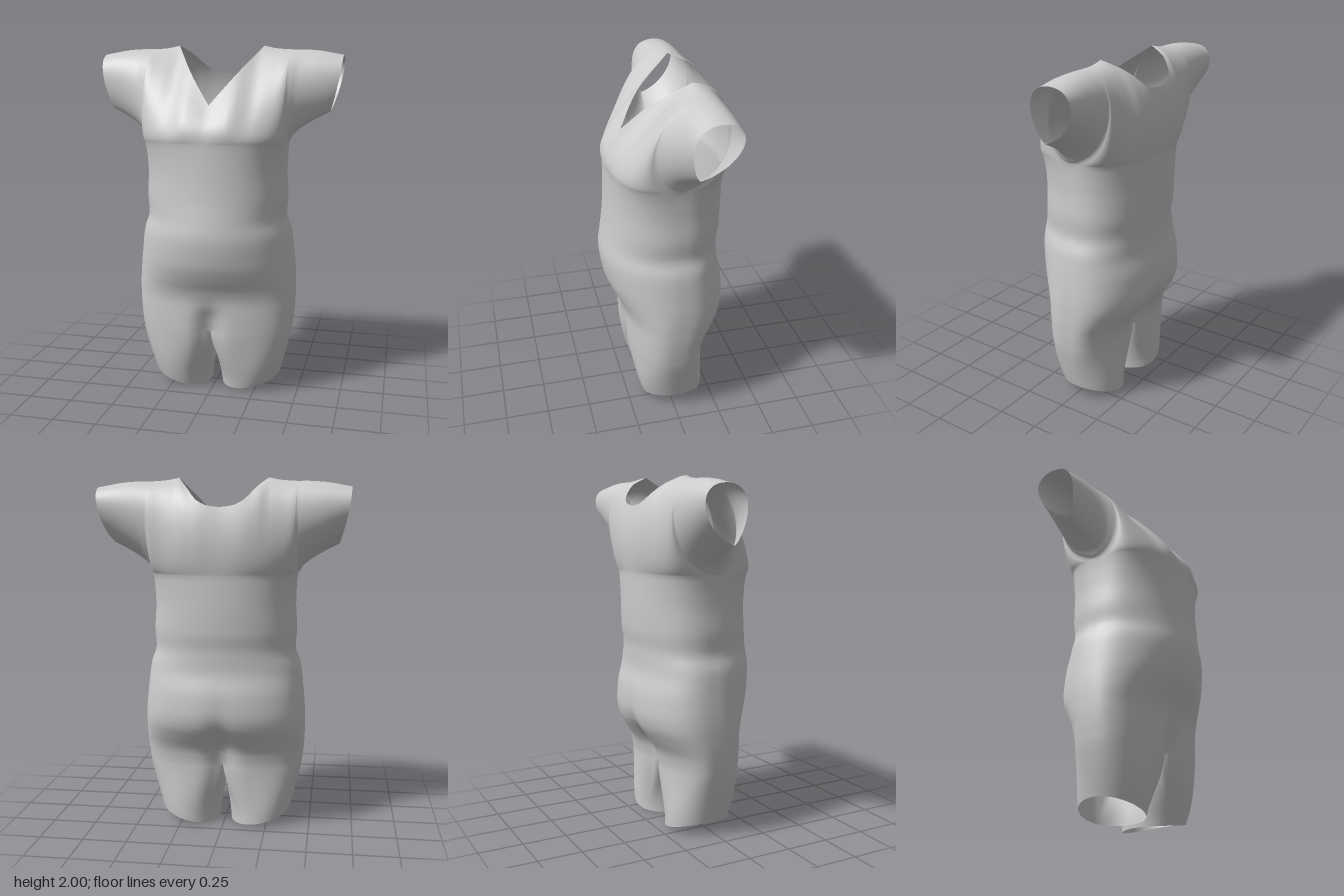
import * as THREE from 'three';
import { mergeVertices, mergeGeometries } from 'three/addons/utils/BufferGeometryUtils.js';

const N = 24;        // columns from the centre line to the side seam
const S = 18;        // columns along a sleeve
const CORNER = 10;   // column of the neckline's shoulder corner
const CROTCH = 0.38, CHEST = 1.47, SIDE = 0.41;

// y, half width, front z, back z, front roundness, back roundness, front cleft, back cleft
const BODY = [
  [0.38, 0.452, 0.237, -0.22, 0.68, 0.7, 0.24, 0.26],
  [0.45, 0.46, 0.24, -0.235, 0.7, 0.7, 0.18, 0.24],
  [0.55, 0.465, 0.243, -0.295, 0.72, 0.7, 0.03, 0.14],
  [0.62, 0.465, 0.26, -0.335, 0.77, 0.7, 0, 0.07],
  [0.7, 0.462, 0.3, -0.35, 0.9, 0.71, 0, 0.03],
  [0.8, 0.453, 0.338, -0.345, 0.98, 0.72, 0, 0.01],
  [0.95, 0.435, 0.357, -0.315, 1, 0.75, 0, 0],
  [1.05, 0.404, 0.345, -0.316, 0.97, 0.78, 0, 0],
  [1.15, 0.41, 0.33, -0.33, 0.92, 0.8, 0, 0],
  [1.3, 0.402, 0.318, -0.335, 0.83, 0.78, 0, 0],
  [1.4, 0.404, 0.314, -0.335, 0.72, 0.72, 0, 0],
  [1.47, 0.41, 0.313, -0.335, 0.6, 0.66, 0, 0],
];
// x, then (y, z) of four curve controls from the chest line or underarm to the neck or shoulder
const FRONT = [
  [0, 1.47, 0.3, 1.56, 0.32, 1.6, 0.27, 1.68, 0.215],
  [0.12, 1.47, 0.3, 1.57, 0.335, 1.65, 0.26, 1.834, 0.1],
  [0.2496, 1.47, 0.2, 1.57, 0.325, 1.9, 0.02, 2, -0.11],
  [0.33, 1.47, 0.1, 1.54, 0.295, 1.95, 0.06, 1.985, -0.125],
  [0.41, 1.47, -0.02, 1.52, 0.22, 1.96, 0.12, 1.98, -0.13],
  [0.46, 1.515, -0.03, 1.54, 0.15, 1.965, 0.1, 1.98, -0.13],
  [0.55, 1.565, -0.04, 1.585, 0.07, 1.965, 0.09, 1.975, -0.13],
  [0.7, 1.64, -0.05, 1.66, -0.01, 1.945, 0.07, 1.95, -0.13],
];
const BACK = [
  [0, 1.47, -0.3, 1.58, -0.355, 1.7, -0.36, 1.84, -0.31],
  [0.06, 1.47, -0.3, 1.58, -0.357, 1.71, -0.362, 1.847, -0.31],
  [0.12, 1.47, -0.3, 1.58, -0.36, 1.74, -0.365, 1.872, -0.3],
  [0.2, 1.47, -0.25, 1.58, -0.36, 1.88, -0.355, 1.955, -0.22],
  [0.2496, 1.47, -0.2, 1.57, -0.355, 1.98, -0.345, 2, -0.11],
  [0.33, 1.47, -0.1, 1.55, -0.33, 1.985, -0.34, 1.985, -0.125],
  [0.41, 1.47, -0.02, 1.53, -0.32, 1.98, -0.35, 1.98, -0.13],
  [0.46, 1.515, -0.03, 1.55, -0.31, 1.98, -0.345, 1.98, -0.13],
  [0.55, 1.565, -0.04, 1.6, -0.29, 1.975, -0.34, 1.975, -0.13],
  [0.7, 1.64, -0.05, 1.7, -0.25, 1.95, -0.335, 1.95, -0.13],
];
// The top edges break at the shoulder corner, so neckline and shoulder are separate tables
const NECKLINE = [FRONT.slice(0, 3), BACK.slice(0, 5)];
const SHOULDER = FRONT.slice(2);

// Smooth interpolation of one table column, without overshoot
function sample(table, key, col) {
  const last = table.length - 1;
  let k = 0;
  while (k < last - 1 && key > table[k + 1][0]) k++;
  const slope = (a) => (table[a + 1][col] - table[a][col]) / (table[a + 1][0] - table[a][0]);
  const tangent = (a) => {
    if (a === 0) return slope(0);
    if (a === last) return slope(last - 1);
    const p = slope(a - 1), q = slope(a);
    return p * q <= 0 ? 0 : (2 * p * q) / (p + q);
  };
  const h = table[k + 1][0] - table[k][0];
  const t = THREE.MathUtils.clamp((key - table[k][0]) / h, 0, 1);
  const a = table[k][col], b = table[k + 1][col];
  const t2 = t * t, t3 = t2 * t;
  return a * (2 * t3 - 3 * t2 + 1) + b * (3 * t2 - 2 * t3)
    + h * (tangent(k) * (t3 - 2 * t2 + t) + tangent(k + 1) * (t3 - t2));
}

// Point of the torso in column i; side 0 is the front, 1 the back
function torsoPoint(i, y, side) {
  const get = (col) => sample(BODY, y, col);
  const angle = (i / N) * Math.PI / 2, mid = -0.02;
  const x = get(1) * Math.sin(angle);
  const round = Math.abs(i) === N ? 0 : Math.pow(Math.cos(angle), get(4 + side));
  const cleft = 1 - get(6 + side) * Math.exp(-((x / 0.07) ** 2));
  return [x, y, mid + (get(2 + side) - mid) * round * cleft];
}

// Point of the chest, shoulder and sleeve in column i, at v from underarm to top
function yokePoint(i, v, side) {
  const n = Math.abs(i), sign = Math.sign(i), table = side ? BACK : FRONT;
  const along = Math.max(0, n - N) / S;
  const x = n <= N ? SIDE * Math.sin((n / N) * Math.PI / 2) : SIDE + 0.29 * along;
  const tables = [FRONT, table, table, n >= CORNER ? SHOULDER : NECKLINE[side]];
  const c = tables.map((from, k) => [sample(from, x, 1 + 2 * k), sample(from, x, 2 + 2 * k)]);
  if (n <= N) c[0] = torsoPoint(i, CHEST, side).slice(1);
  const w = 1 - v;
  const [y, z] = [0, 1].map((d) =>
    w ** 3 * c[0][d] + 3 * w * w * v * c[1][d] + 3 * w * v * v * c[2][d] + v ** 3 * c[3][d]);
  // the sleeve opening curves inward towards the underarm
  const tuck = 0.39 * along * Math.max(0, c[3][0] - y) ** 1.6;
  return [sign * (x - tuck), y, z];
}

// Leg loop: front inner to outer, back outer to inner, then the inner thigh; t runs down
function legPoint(k, t, sign) {
  const inner = 12, limit = (130 / 180) * Math.PI;
  let angle, top;
  if (k <= 2 * N) {
    angle = limit * (1 - k / N);
    top = k <= N ? torsoPoint(k, CROTCH, 0) : torsoPoint(2 * N - k, CROTCH, 1);
  } else {
    const f = (k - 2 * N) / inner;
    angle = -limit - f * (2 * Math.PI - 2 * limit);
    const z0 = torsoPoint(0, CROTCH, 1)[2], z1 = torsoPoint(0, CROTCH, 0)[2];
    top = [0, CROTCH, z0 + (z1 - z0) * f];
  }
  const lerp = THREE.MathUtils.lerp;
  const xIn = lerp(0.004, 0.035, t), xOut = lerp(0.452, 0.38, t ** 1.3);
  const zF = lerp(0.237, 0.155, t ** 1.4), zB = lerp(-0.22, -0.205, t);
  const ex = (xIn + xOut) / 2 + ((xOut - xIn) / 2) * Math.cos(angle);
  const ez = (zF + zB) / 2 + ((zF - zB) / 2) * Math.sin(angle);
  // the crotch section shrinks with the leg while it turns into an ellipse
  const tx = top[0] * xOut / 0.452, tz = top[2] * (top[2] > 0 ? zF / 0.237 : zB / -0.22);
  const blend = THREE.MathUtils.smoothstep(t, 0, 0.95);
  const x = lerp(tx, ex, blend), z = lerp(tz, ez, blend);
  const hem = 0.002 + 0.075 * (Math.max(0, x - 0.035) / 0.345) ** 1.7;
  return [sign * x, lerp(CROTCH, hem, t), z];
}

// Sheet of quads from point(column, row)
function sheet(cols, rows, point, flip) {
  const pos = [], index = [];
  for (let j = 0; j <= rows; j++) for (let i = 0; i <= cols; i++) pos.push(...point(i, j));
  for (let j = 0; j < rows; j++) for (let i = 0; i < cols; i++) {
    const a = j * (cols + 1) + i, b = a + 1, d = a + cols + 1, c = d + 1;
    if (flip) index.push(a, c, b, a, d, c);
    else index.push(a, b, c, a, c, d);
  }
  const g = new THREE.BufferGeometry();
  g.setAttribute('position', new THREE.Float32BufferAttribute(pos, 3));
  g.setIndex(index);
  return g;
}

export function createModel() {
  const parts = [];
  for (const side of [0, 1]) {
    // torso panel
    parts.push(sheet(2 * N, 40, (i, j) =>
      torsoPoint(i - N, CROTCH + (CHEST - CROTCH) * j / 40, side), side === 1));
    // chest or upper back panel with both sleeve halves
    parts.push(sheet(2 * (N + S), 24, (i, j) => yokePoint(i - N - S, j / 24, side), side === 1));
  }
  // legs
  for (const sign of [1, -1]) {
    parts.push(sheet(2 * N + 12, 18, (k, j) => legPoint(k, 1 - j / 18, sign), sign < 0));
  }
  // weld the panels so the shading runs smoothly over the seams
  const geometry = mergeVertices(mergeGeometries(parts), 1e-4);
  geometry.computeVertexNormals();

  const garment = new THREE.Mesh(geometry,
    new THREE.MeshStandardMaterial({ color: 0xcccccc, side: THREE.DoubleSide }));
  garment.name = 'shortSleevedBodysuit';
  const group = new THREE.Group();
  group.name = 'garment';
  group.add(garment);
  return group;
}
